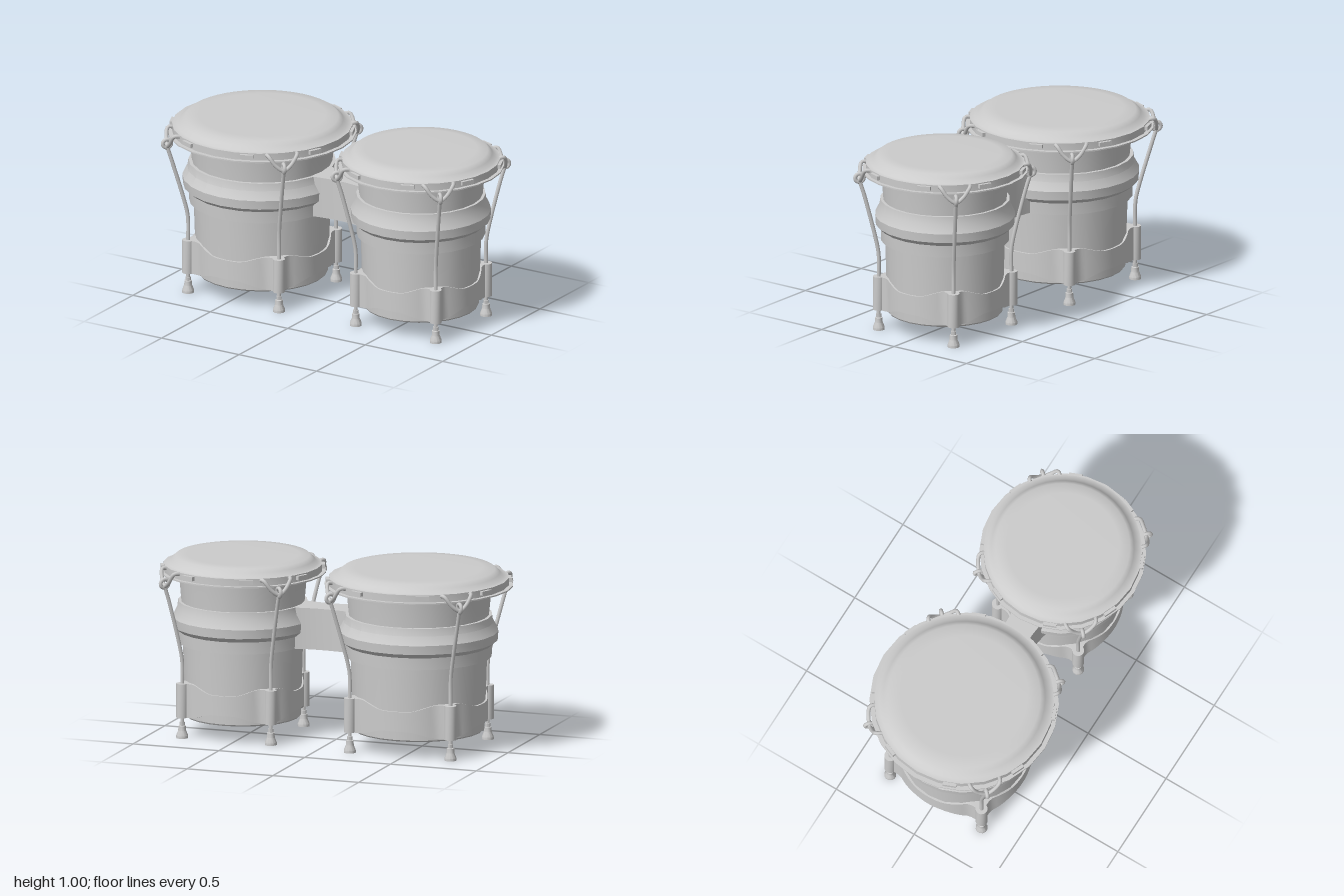
import * as THREE from 'three';
import { toCreasedNormals } from 'three/addons/utils/BufferGeometryUtils.js';

const material = new THREE.MeshStandardMaterial({ color: 0xcccccc });
const thinMaterial = new THREE.MeshStandardMaterial({ color: 0xcccccc, side: THREE.DoubleSide });

function add(parent, name, geometry, mat = material) {
  const mesh = new THREE.Mesh(geometry, mat);
  mesh.name = name;
  parent.add(mesh);
  return mesh;
}

// Turned part; radii are multiplied by k, heights are kept
function turned(points, k = 1, sides = 24, crease = 0.4) {
  const profile = points.map(([r, y]) => new THREE.Vector2(r * k, y));
  const geometry = new THREE.LatheGeometry(profile, sides);
  return crease ? toCreasedNormals(geometry, crease) : geometry;
}

function wire(points, radius, steps) {
  const curve = new THREE.CatmullRomCurve3(points.map(p => new THREE.Vector3(...p)), false, 'centripetal');
  return new THREE.TubeGeometry(curve, steps, radius, 8);
}

// Wavy strap round the base, swelling outwards at each of the four sleeves
function strapGeometry(k) {
  const geometry = new THREE.LatheGeometry(
    [[0, 0], [1, 0], [1, 1], [0, 1]].map(([r, y]) => new THREE.Vector2(r + 1, y)), 96);
  const pos = geometry.attributes.position;
  for (let i = 0; i < pos.count; i++) {
    const x = pos.getX(i), z = pos.getZ(i);
    const angle = Math.atan2(x, z);
    const outer = Math.hypot(x, z) > 1.5;
    const quarter = Math.PI / 2;
    const off = Math.abs(((angle + Math.PI * 2) % quarter) - quarter / 2);
    const wave = 1 - THREE.MathUtils.smoothstep(off, 0.12, 0.62);
    const bump = 1 - THREE.MathUtils.smoothstep(off, 0.06, 0.17);
    const r = outer ? 0.376 * k + 0.03 * bump : 0.355 * k;
    const y = pos.getY(i) > 0.5 ? 0.265 + 0.04 * wave : 0.155 - 0.04 * wave;
    pos.setXYZ(i, r * Math.sin(angle), y, r * Math.cos(angle));
  }
  return toCreasedNormals(geometry, 0.6);
}

// Tension rod with its hook, sleeve and foot; +z points away from the drum
function tensionPost(k) {
  const post = new THREE.Group();
  post.name = 'tensionPost';
  const rim = 0.515 * k, low = 0.415 * k;

  const side = s => [[s * 0.085, 0.935, rim - 0.045], [s * 0.08, 0.938, rim - 0.005], [s * 0.042, 0.885, rim + 0.012]];
  add(post, 'rimHook', wire([...side(-1), [0, 0.857, rim + 0.016], ...side(1).reverse()], 0.011, 28));

  const eye = add(post, 'rodEye', new THREE.TorusGeometry(0.024, 0.011, 8, 16));
  eye.rotation.y = Math.PI / 2;
  eye.position.set(0, 0.872, rim + 0.018);

  add(post, 'tensionRod', wire([
    [0, 0.85, rim + 0.016], [0, 0.78, rim - 0.006], [0, 0.48, low + 0.008],
    [0, 0.42, low], [0, 0.3, low], [0, 0.08, low],
  ], 0.011, 30));

  const sleeve = add(post, 'rodSleeve', toCreasedNormals(new THREE.CylinderGeometry(0.033, 0.033, 0.19, 16), 0.6));
  sleeve.position.set(0, 0.21, low);

  const foot = add(post, 'foot', turned([
    [0, 0], [0.033, 0], [0.033, 0.014], [0.022, 0.042], [0.021, 0.068],
    [0.015, 0.07], [0.015, 0.09], [0, 0.09],
  ], 1, 12, 0.6));
  foot.position.z = low;
  return post;
}

function drum(name, x, k) {
  const group = new THREE.Group();
  group.name = name;
  group.position.x = x;

  // Hollow shell, open at the bottom
  add(group, 'shell', turned([
    [0, 0.93], [0.36, 0.93], [0.335, 0.6], [0.285, 0.11], [0.29, 0.097], [0.355, 0.097],
    [0.361, 0.105], [0.375, 0.51], [0.385, 0.74], [0.402, 0.91],
  ], k));

  // Raised belt round the middle
  add(group, 'belt', turned([
    [0.37, 0.508], [0.4, 0.508], [0.402, 0.575], [0.433, 0.6],
    [0.437, 0.65], [0.41, 0.698], [0.403, 0.74], [0.38, 0.74],
  ], k));

  // Tuning rim with a thin flange
  add(group, 'rim', turned([
    [0.385, 0.9], [0.518, 0.9], [0.518, 0.907], [0.494, 0.907], [0.494, 0.947], [0.45, 0.947],
  ], k));

  // Smoothly rounded drum head
  add(group, 'drumHead', turned([
    [0.49, 0.947], [0.465, 0.95], [0.443, 0.971], [0.417, 0.991], [0.35, 0.996], [0, 0.996],
  ], k, 48, 0));

  add(group, 'baseStrap', strapGeometry(k), thinMaterial);

  // Small blocks on the rim, two between each pair of hooks
  for (let i = 0; i < 8; i++) {
    const a = (i + 0.5) * Math.PI / 4;
    const tab = add(group, 'rimTab', new THREE.BoxGeometry(0.075, 0.022, 0.022));
    tab.position.set(Math.sin(a) * 0.497 * k, 0.93, Math.cos(a) * 0.497 * k);
    tab.rotation.y = a;
  }

  for (let i = 0; i < 4; i++) {
    const post = tensionPost(k);
    post.rotation.y = (i + 0.5) * Math.PI / 2;
    group.add(post);
  }
  return group;
}

// Block joining the two belts, waisted in plan
function connectorGeometry() {
  const shape = new THREE.Shape();
  shape.moveTo(-0.12, -0.1);
  shape.quadraticCurveTo(0.07, -0.06, 0.22, -0.1);
  shape.lineTo(0.22, 0.1);
  shape.quadraticCurveTo(0.07, 0.06, -0.12, 0.1);
  shape.closePath();
  const geometry = new THREE.ExtrudeGeometry(shape, { depth: 0.23, bevelEnabled: false, curveSegments: 10 });
  geometry.rotateX(-Math.PI / 2);
  geometry.translate(0, 0.51, 0);
  return toCreasedNormals(geometry, 0.5);
}

export function createModel() {
  const model = new THREE.Group();
  model.name = 'bongoDrums';
  model.add(drum('largeDrum', -0.48, 1));
  model.add(drum('smallDrum', 0.545, 0.88));
  add(model, 'connector', connectorGeometry());
  return model;
}
